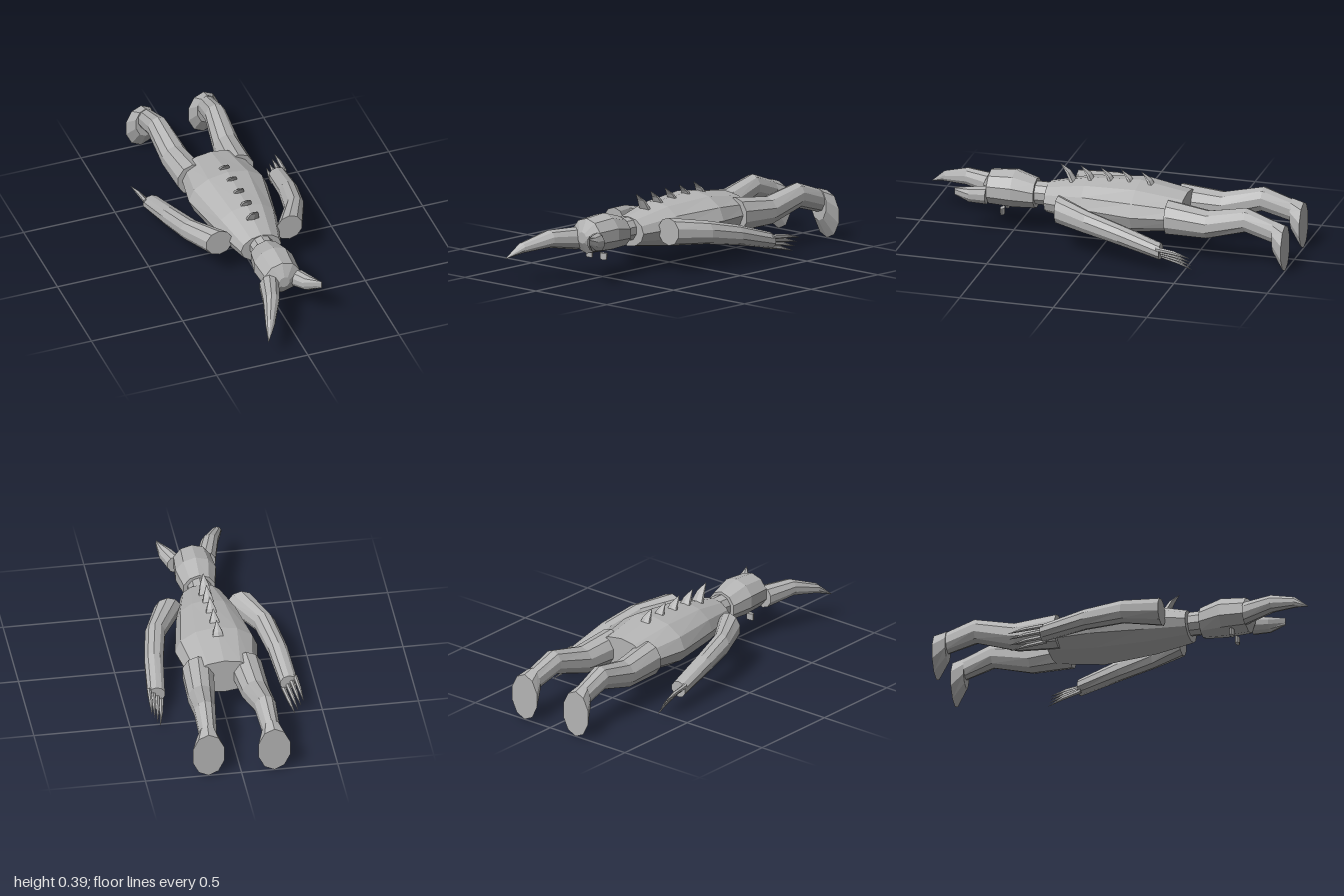
import * as THREE from 'three';

const skin = new THREE.MeshStandardMaterial({ color: 0xb4b4b4, flatShading: true });
skin.name = 'grey skin';

// Closed tube through rings [x, y, z, rx, ry] along z; s mirrors x.
function loft(rings, n, s = 1) {
  const list = rings[0][2] < rings[rings.length - 1][2] ? rings : [...rings].reverse();
  const pos = [];
  const idx = [];
  list.forEach(([x, y, z, rx, ry]) => {
    for (let j = 0; j < n; j++) {
      const a = Math.PI / 2 + (j / n) * Math.PI * 2;
      pos.push(s * x + rx * Math.cos(a), y + ry * Math.sin(a), z);
    }
  });
  const last = list.length - 1;
  for (const i of [0, last]) pos.push(s * list[i][0], list[i][1], list[i][2]);
  const c0 = n * list.length;
  for (let j = 0; j < n; j++) {
    const k = (j + 1) % n;
    for (let i = 0; i < last; i++) {
      const a = i * n + j, b = i * n + k;
      idx.push(a, b, a + n, b, b + n, a + n);
    }
    idx.push(c0, k, j, c0 + 1, last * n + j, last * n + k);
  }
  const g = new THREE.BufferGeometry();
  g.setAttribute('position', new THREE.Float32BufferAttribute(pos, 3));
  g.setIndex(idx);
  g.computeVertexNormals();
  return g;
}

export function createModel() {
  const model = new THREE.Group();
  model.name = 'hornedCreature';
  const add = (name, geometry) => {
    const m = new THREE.Mesh(geometry, skin);
    m.name = name;
    model.add(m);
    return m;
  };

  // Body lies face down, head towards +z
  add('torso', loft([
    [0, 0.215, -0.43, 0.17, 0.095], [0, 0.22, -0.18, 0.215, 0.132],
    [0, 0.218, 0.1, 0.165, 0.117], [0, 0.21, 0.31, 0.11, 0.078],
  ], 12));
  add('neck', loft([[0, 0.223, 0.29, 0.063, 0.063], [0, 0.223, 0.39, 0.063, 0.063]], 10));
  add('head', loft([
    [0, 0.22, 0.375, 0.085, 0.08], [0, 0.235, 0.49, 0.11, 0.1],
    [0, 0.233, 0.62, 0.1, 0.092], [0, 0.228, 0.655, 0.03, 0.03],
  ], 10));

  // One whole horn and one broken horn
  add('rightHorn', loft([
    [-0.07, 0.212, 0.62, 0.056, 0.06], [-0.118, 0.225, 0.78, 0.046, 0.046],
    [-0.176, 0.19, 0.92, 0.027, 0.028], [-0.215, 0.14, 1, 0.001, 0.001],
  ], 10));
  add('leftBrokenHorn', loft([
    [0.08, 0.212, 0.62, 0.048, 0.05], [0.118, 0.222, 0.7, 0.04, 0.042],
    [0.161, 0.25, 0.77, 0.002, 0.02],
  ], 10));

  for (const [side, s] of [['left', 1], ['right', -1]]) {
    add(side + 'Eye', new THREE.CylinderGeometry(0.024, 0.022, 0.035, 10)
      .scale(1, 1, 0.5).translate(s * 0.05, 0.123, 0.545));

    add(side + 'Arm', loft([
      [0.192, 0.22, 0.21, 0.073, 0.073], [0.285, 0.203, 0.03, 0.055, 0.062],
      [0.322, 0.167, -0.16, 0.052, 0.054], [0.345, 0.108, -0.385, 0.047, 0.043],
    ], 10, s));

    // Four claws fanned across the hand, base to tip
    for (let i = 0; i < 4; i++) {
      const t = i / 3;
      const bx = 0.38 - 0.065 * t, by = 0.132 - 0.057 * t;
      const tx = 0.394 - 0.044 * t, ty = 0.105 - 0.077 * t;
      add(side + 'Claw' + (i + 1), loft([
        [bx, by, -0.37, 0.012, 0.013],
        [(bx + tx) / 2, (by + ty) / 2 + 0.004, -0.47, 0.01, 0.011],
        [tx, ty, -0.552, 0.001, 0.001],
      ], 6, s));
    }

    add(side + 'Leg', loft([
      [0.125, 0.213, -0.36, 0.085, 0.092], [0.141, 0.202, -0.58, 0.073, 0.075],
      [0.157, 0.255, -0.79, 0.057, 0.066], [0.165, 0.2, -0.96, 0.045, 0.06],
    ], 10, s));
    add(side + 'Foot', loft([
      [0.168, 0.185, -0.94, 0.055, 0.086], [0.171, 0.127, -1, 0.087, 0.125],
    ], 10, s));
  }

  // Row of back spikes leaning towards the head
  for (let i = 0; i < 5; i++) {
    const spike = loft([
      [0, 0, 0, 0.04, 0.018], [0, -0.03, 0.055, 0.026, 0.013], [0, -0.072, 0.095, 0.001, 0.001],
    ], 6).rotateX(-Math.PI / 2);
    add('backSpike' + (i + 1), spike).position.set(0, 0.302, 0.178 - 0.108 * i);
  }

  return model;
}
